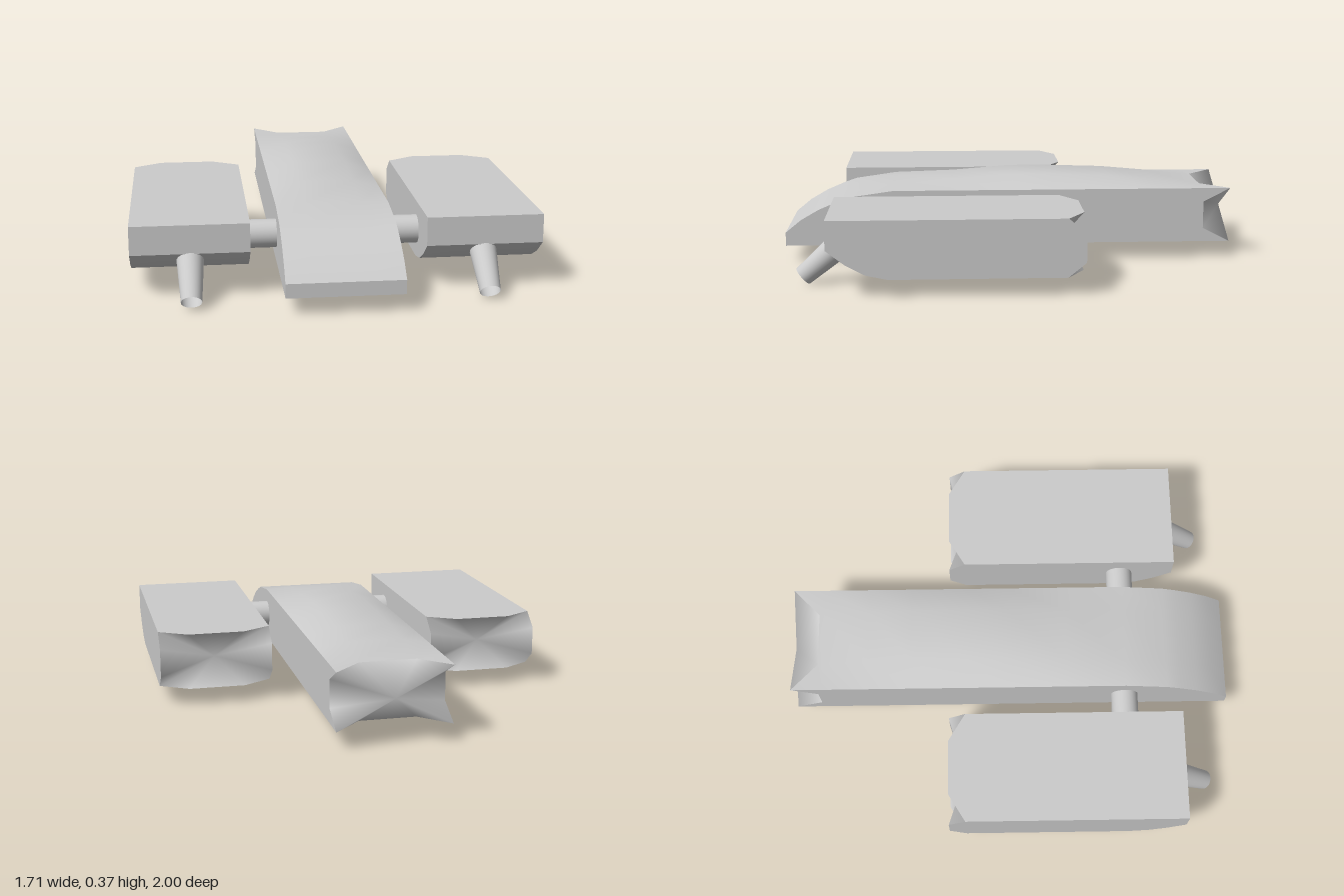
import * as THREE from 'three';
import { toCreasedNormals } from 'three/addons/utils/BufferGeometryUtils.js';

const material = new THREE.MeshStandardMaterial({ color: 0xcccccc, side: THREE.DoubleSide });

// Twelve-point cross-section: four corners plus quarter points on every edge
function ring(w, [z, bottom, edge, mid = edge], cornerZ = z) {
  const q = w / 2;
  const y1 = bottom + (edge - bottom) / 4;
  const y2 = bottom + (edge - bottom) * 3 / 4;
  return [
    [-w, bottom, cornerZ], [-q, bottom, z], [q, bottom, z],
    [w, bottom, cornerZ], [w, y1, z], [w, y2, z],
    [w, edge, cornerZ], [q, mid, z], [-q, mid, z],
    [-w, edge, cornerZ], [-w, y2, z], [-w, y1, z],
  ];
}

function geometryFrom(points, index) {
  const g = new THREE.BufferGeometry();
  g.setAttribute('position', new THREE.Float32BufferAttribute(points.flat(), 3));
  g.setIndex(index);
  return g;
}

function addMesh(group, name, geometry) {
  const mesh = new THREE.Mesh(geometry, material);
  mesh.name = name;
  group.add(mesh);
  return mesh;
}

// Hull lofted from front to back; the rear is a fan with its own corner and centre depth
function hull(name, w, stations, rearCornerZ) {
  const group = new THREE.Group();
  group.name = name;
  const last = stations.length - 1;
  const rings = stations.map((s, i) => ring(w, s, i === last ? rearCornerZ : s[0]));
  const points = rings.flat();
  const index = [];
  for (let i = 0; i < last; i++) {
    for (let k = 0; k < 12; k++) {
      const n = (k + 1) % 12;
      const a = i * 12 + k, b = i * 12 + n;
      index.push(a, a + 12, b, b, a + 12, b + 12);
    }
  }
  // Flat front
  const [z, bottom, edge] = stations[0];
  points.push([0, (bottom + edge) / 2, z]);
  for (let k = 0; k < 12; k++) index.push(points.length - 1, k, (k + 1) % 12);
  addMesh(group, name + 'Shell', toCreasedNormals(geometryFrom(points, index), 0.45));

  // Folded rear
  const [, rb, re] = stations[last];
  const rearPoints = [...rings[last], [0, (rb + re) / 2, rearCornerZ]];
  const rearIndex = [];
  for (let k = 0; k < 12; k++) rearIndex.push(12, (k + 1) % 12, k);
  const rear = geometryFrom(rearPoints, rearIndex);
  rear.computeVertexNormals();
  addMesh(group, name + 'Rear', rear);
  return group;
}

// Tapered open tube between two points
function nozzle(from, to, r0, r1) {
  const dir = to.clone().sub(from);
  const g = new THREE.CylinderGeometry(r1, r0, dir.length(), 24, 1, true);
  const mesh = new THREE.Mesh(g, material);
  mesh.position.copy(from).add(to).multiplyScalar(0.5);
  mesh.quaternion.setFromUnitVectors(new THREE.Vector3(0, 1, 0), dir.normalize());
  return mesh;
}

export function createModel() {
  const model = new THREE.Group();
  model.name = 'craft';

  // Central body: z, bottom, side top, raised middle top
  model.add(hull('body', 0.242, [
    [1, 0.08, 0.14],
    [0.93, 0.08, 0.197],
    [0.85, 0.08, 0.243],
    [0.77, 0.08, 0.277],
    [0.71, 0.08, 0.298],
    [0.52, 0.08, 0.325, 0.332],
    [0.25, 0.08, 0.325, 0.355],
    [-0.02, 0.08, 0.325, 0.376],
    [-0.2, 0.08, 0.325, 0.375],
    [-0.45, 0.08, 0.325, 0.367],
    [-0.65, 0.08, 0.325, 0.349],
    [-0.86, 0.08, 0.325, 0.326],
    [-0.88, 0.08, 0.325],
  ], -1));

  for (const side of [-1, 1]) {
    const name = side > 0 ? 'left' : 'right';

    // Side pod with upswept front underside
    const pod = hull(name + 'Pod', 0.245, [
      [0.77, 0.203, 0.325],
      [0.69, 0.141, 0.325],
      [0.61, 0.099, 0.325],
      [0.52, 0.08, 0.325],
      [-0.2, 0.08, 0.325],
      [-0.285, 0.08, 0.325],
    ], -0.21);
    pod.position.x = side * 0.61;
    model.add(pod);

    // Barrel pointing forward and down
    const barrel = nozzle(
      new THREE.Vector3(side * 0.61, 0.165, 0.735),
      new THREE.Vector3(side * 0.61, 0.037, 0.885), 0.056, 0.043);
    barrel.name = name + 'Barrel';
    model.add(barrel);

    // Strut joining pod and body
    const strut = addMesh(model, name + 'Strut', new THREE.CylinderGeometry(0.061, 0.061, 0.135, 24));
    strut.rotation.z = Math.PI / 2;
    strut.position.set(side * 0.304, 0.204, 0.52);
  }
  return model;
}
